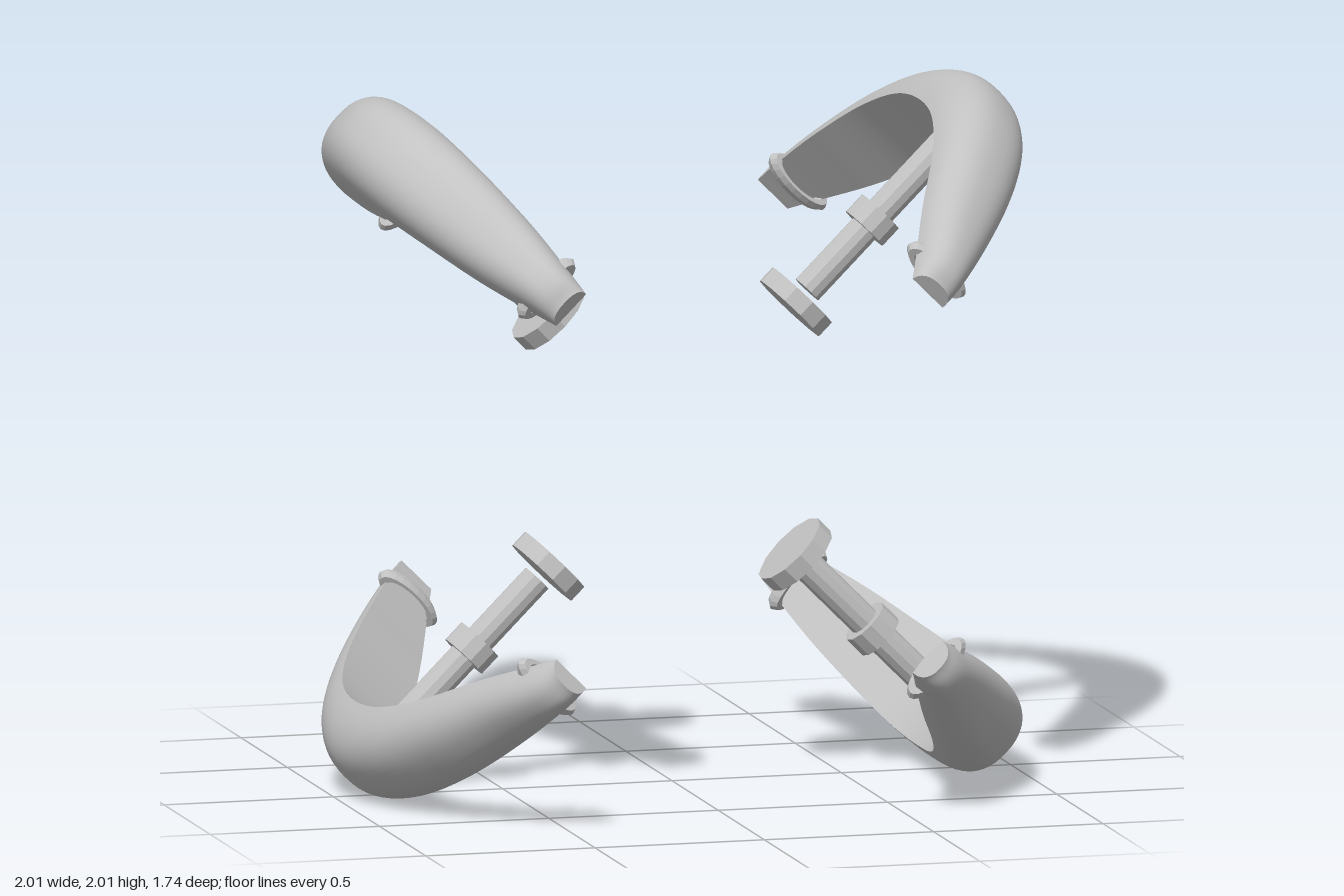
import * as THREE from 'three';
import { ParametricGeometry } from 'three/addons/geometries/ParametricGeometry.js';

const grey = new THREE.MeshStandardMaterial({ color: 0xc2c2c2 });
grey.name = 'plain grey';

// Half of the arch from tip to crown:
// [z, distance of the flat inner face from the centre, depth, half width]
const half = [
  [-0.838, 0.744, 0.052, 0.062],
  [-0.77, 0.8, 0.095, 0.078],
  [-0.6, 0.925, 0.112, 0.11],
  [-0.4, 1.066, 0.13, 0.133],
  [-0.2, 1.153, 0.156, 0.145],
];
const stations = [
  ...half,
  [0, 1.177, 0.175, 0.147],
  ...half.slice().reverse().map(([z, ...rest]) => [-z, ...rest]),
];
const spline = (points) => new THREE.CatmullRomCurve3(points, false, 'catmullrom', 0.5);
const spine = spline(stations.map(([z, r]) => new THREE.Vector3(0, r, z)));
const sizes = spline(stations.map(([, , depth, width]) => new THREE.Vector3(width, depth, 0)));

// Local frame of the arch at v: x across, y outward, z along the spine
function frameAt(v) {
  const along = spine.getTangent(v);
  const across = new THREE.Vector3(1, 0, 0);
  const out = new THREE.Vector3().crossVectors(along, across);
  return new THREE.Matrix4().makeBasis(across, out, along).setPosition(spine.getPoint(v));
}

// Slightly squared dome of the D-shaped section, u from one edge to the other
function domePoint(u, v, target) {
  const { x: width, y: depth } = sizes.getPoint(v);
  const c = Math.cos(u * Math.PI);
  const s = Math.max(0, Math.sin(u * Math.PI));
  const power = 2 / 2.4;
  return target.set(Math.sign(c) * width * Math.abs(c) ** power, depth * s ** power, 0);
}

// Facet a geometry by giving each face its own normals
function faceted(geometry) {
  const flat = geometry.toNonIndexed();
  flat.computeVertexNormals();
  return flat;
}

function makeUnit() {
  const unit = new THREE.Group();
  unit.name = 'archUnit';
  const add = (name, geometry) => {
    const mesh = new THREE.Mesh(geometry, grey);
    mesh.name = name;
    unit.add(mesh);
  };

  // Curved, tapering arch: domed outside and flat inside
  const outer = (u, v, target) => domePoint(u, v, target).applyMatrix4(frameAt(v));
  const inner = (u, v, target) =>
    target.set((2 * u - 1) * sizes.getPoint(v).x, 0, 0).applyMatrix4(frameAt(v));
  add('archOuter', new ParametricGeometry(outer, 28, 60));
  add('archInner', new ParametricGeometry(inner, 2, 60));

  // Flat tips and the flattened rings just before them
  for (const end of [0, 1]) {
    const outline = [];
    for (let i = 0; i <= 28; i++) {
      const p = domePoint(i / 28, end, new THREE.Vector3());
      outline.push(new THREE.Vector2(p.x, p.y));
    }
    const cap = new THREE.ShapeGeometry(new THREE.Shape(outline));
    if (end === 0) cap.rotateY(Math.PI);
    add('archTip', cap.applyMatrix4(frameAt(end)));

    const ring = new THREE.TorusGeometry(0.092, 0.022, 6, 24).scale(1, 0.4, 1);
    add('tipRing', faceted(ring.applyMatrix4(frameAt(end ? 0.885 : 0.115))));
  }

  // Shaft, collar and end disc pointing towards the centre
  const rod = (name, radius, from, to) => {
    const geometry = new THREE.CylinderGeometry(radius, radius, to - from, 12);
    add(name, faceted(geometry.translate(0, (from + to) / 2, 0)));
  };
  rod('shaft', 0.045, 0.564, 1.23);
  rod('collar', 0.073, 0.803, 0.87);
  rod('endDisc', 0.118, 0.491, 0.543);
  return unit;
}

export function createModel() {
  const model = new THREE.Group();
  model.name = 'fourArches';
  // Four equal units on the diagonals
  for (let i = 0; i < 4; i++) {
    const unit = makeUnit();
    unit.rotation.z = Math.PI / 4 + (i * Math.PI) / 2;
    unit.position.y = 1;
    model.add(unit);
  }
  return model;
}
